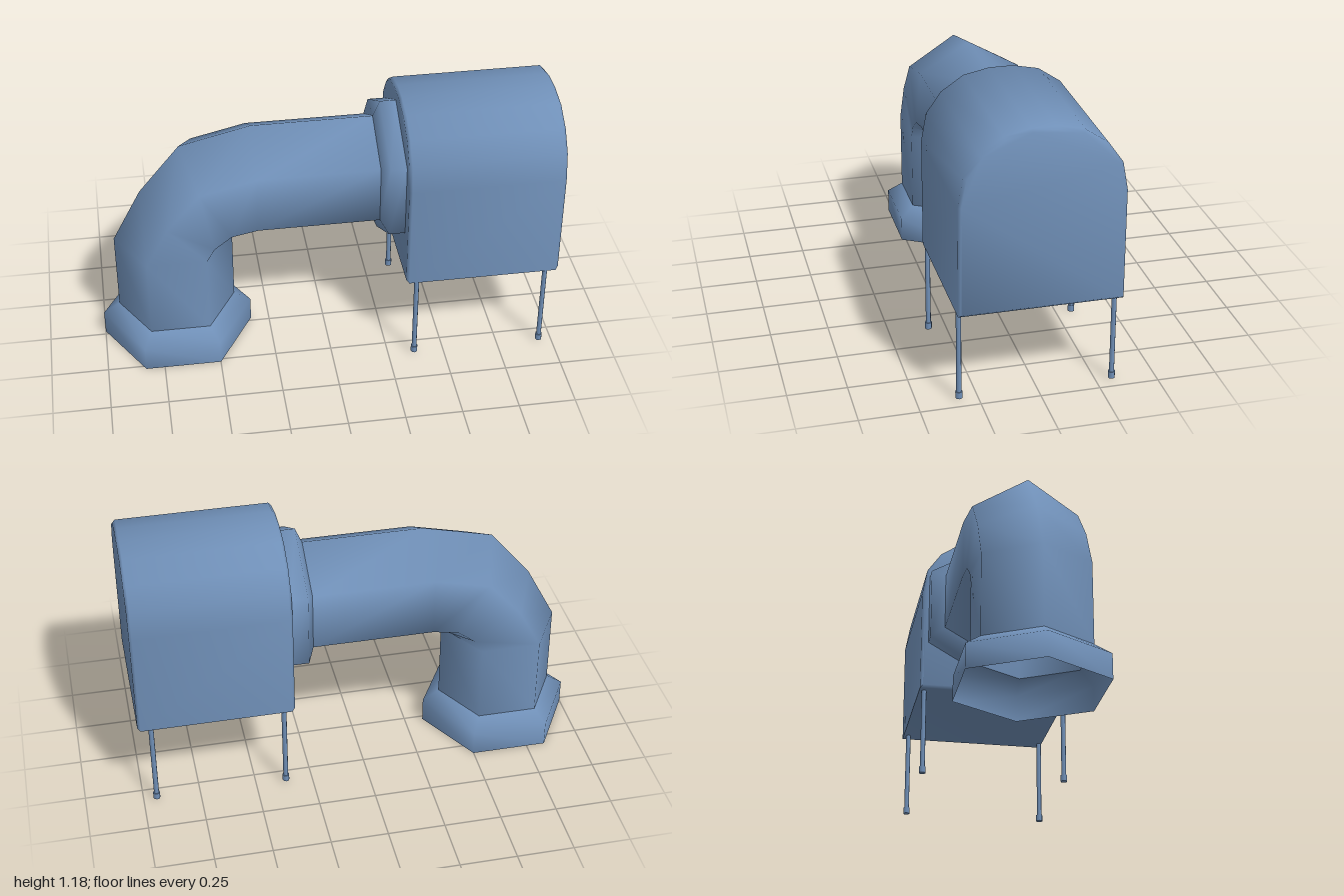
import * as THREE from 'three';
import { toCreasedNormals } from 'three/addons/utils/BufferGeometryUtils.js';

const SIDES = 6;
const PIPE_Z = -0.02;

// Six-sided loft; each ring is [outer x, outer y, inner x, inner y, radius in z]
function loft(rings) {
  const pos = [], index = [];
  for (const [ox, oy, ix, iy, r] of rings) {
    for (let k = 0; k < SIDES; k++) {
      const a = (k / SIDES) * Math.PI * 2, c = Math.cos(a) / 2;
      pos.push((ox + ix) / 2 + (ox - ix) * c, (oy + iy) / 2 + (oy - iy) * c, PIPE_Z + r * Math.sin(a));
    }
  }
  for (let i = 0; i < rings.length - 1; i++) {
    for (let k = 0; k < SIDES; k++) {
      const n = (k + 1) % SIDES;
      const a = i * SIDES + k, b = i * SIDES + n, c = a + SIDES, d = b + SIDES;
      index.push(a, b, c, b, d, c);
    }
  }
  const geo = new THREE.BufferGeometry();
  geo.setAttribute('position', new THREE.Float32BufferAttribute(pos, 3));
  geo.setIndex(index);
  geo.computeVertexNormals();
  return geo;
}

// Rings across the upright and the level stretch of pipe
const upright = (y, r) => [-0.666 - r, y, -0.666 + r, y, r];
const level = (x, r) => [x, 0.792 + r, x, 0.792 - r, r];

export function createModel() {
  const model = new THREE.Group();
  const blue = new THREE.MeshStandardMaterial({ color: 0x7090b8 });
  const blueOpen = new THREE.MeshStandardMaterial({ color: 0x7090b8, side: THREE.DoubleSide });

  const add = (name, geo, mat = blue, parent = model) => {
    const mesh = new THREE.Mesh(geo, mat);
    mesh.name = name;
    parent.add(mesh);
    return mesh;
  };

  // Bent pipe, open at both ends so its inside shows too
  add('pipe', loft([
    upright(0.16, 0.261),
    upright(0.52, 0.261),
    [-0.8, 0.76, -0.4, 0.52, 0.261],
    [-0.62, 0.978, -0.36, 0.525, 0.261],
    level(-0.31, 0.261),
    level(0.22, 0.261),
  ]), blueOpen);

  // Thin hollow collars at the two ends of the pipe
  add('baseCollar', loft([upright(0, 0.334), upright(0.11, 0.334), upright(0.16, 0.261)]), blueOpen);
  add('housingCollar', loft([level(0.22, 0.261), level(0.25, 0.332), level(0.32, 0.332)]), blueOpen);

  // Arched housing with a small bevel
  const half = [[0.34, 0.403], [0.34, 0.88], [0.318, 1.0], [0.255, 1.09], [0.16, 1.155], [0.05, 1.178]];
  const outline = [...half, ...half.map(([x, y]) => [-x, y]).reverse()];
  const bevel = 0.012;
  const housing = new THREE.ExtrudeGeometry(
    new THREE.Shape(outline.map(([x, y]) => new THREE.Vector2(x, y))),
    { depth: 0.68 - 2 * bevel, bevelThickness: bevel, bevelSize: bevel, bevelOffset: -bevel, bevelSegments: 1 },
  );
  housing.rotateY(Math.PI / 2).translate(0.32 + bevel, 0, 0);
  add('housing', toCreasedNormals(housing, 0.9));

  // Four slim legs with small feet
  const legGeo = new THREE.CylinderGeometry(0.011, 0.011, 0.4, 8);
  const footGeo = new THREE.CylinderGeometry(0.015, 0.015, 0.03, 8);
  for (const x of [0.367, 0.942]) {
    for (const z of [0.328, -0.317]) {
      const leg = new THREE.Group();
      leg.name = 'leg';
      leg.position.set(x, 0, z);
      add('legRod', legGeo, blue, leg).position.y = 0.22;
      add('foot', footGeo, blue, leg).position.y = 0.022;
      model.add(leg);
    }
  }
  return model;
}
